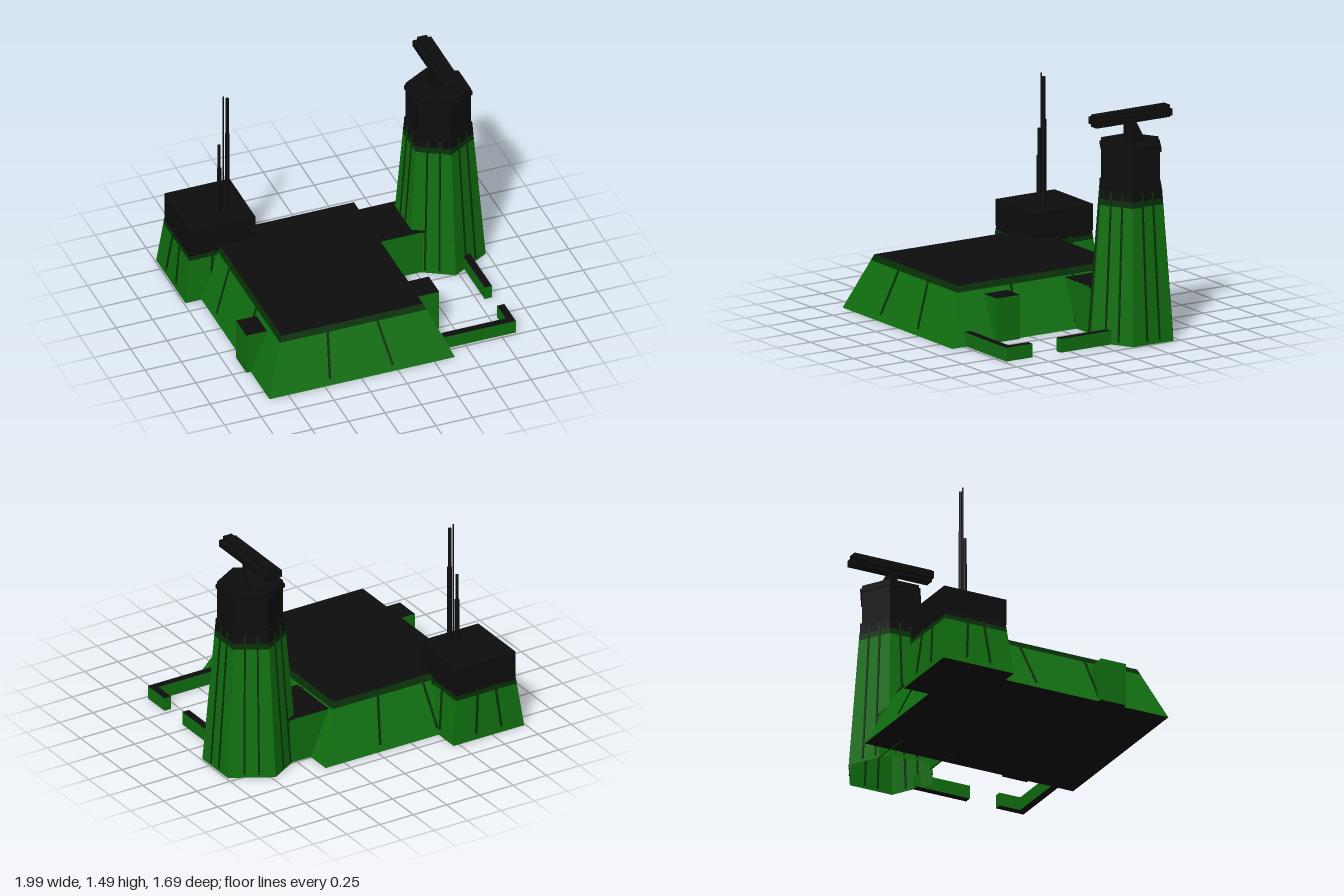
import * as THREE from 'three';

const green = new THREE.MeshStandardMaterial({ color: 0x107010, side: THREE.DoubleSide });
green.name = 'wall green';
const darkGreen = new THREE.MeshStandardMaterial({ color: 0x083008 });
darkGreen.name = 'dark green';
const black = new THREE.MeshStandardMaterial({ color: 0x0d0d0d });
black.name = 'black';

export function createModel() {
  const model = new THREE.Group();

  function add(name, geometry, material, parent = model) {
    const mesh = new THREE.Mesh(geometry, material);
    mesh.name = name;
    parent.add(mesh);
    return mesh;
  }

  // Box given by its limits; material order is +x, -x, +y, -y, +z, -z
  function box(name, [x0, x1], [y0, y1], [z0, z1], material, parent) {
    const g = new THREE.BoxGeometry(x1 - x0, y1 - y0, z1 - z0);
    g.translate((x0 + x1) / 2, (y0 + y1) / 2, (z0 + z1) / 2);
    return add(name, g, material, parent);
  }
  const blackEnds = (side) => [side, side, black, black, side, side];

  // Slice y0..y1 of a sloped block; rect(y) gives [x0, x1, z0, z1] at a height
  function slice(name, rect, y0, y1, material, parent) {
    const g = new THREE.BoxGeometry(1, 1, 1);
    const p = g.attributes.position;
    for (let i = 0; i < p.count; i++) {
      const y = p.getY(i) > 0 ? y1 : y0;
      const [a, b, c, d] = rect(y);
      p.setXYZ(i, p.getX(i) > 0 ? b : a, y, p.getZ(i) > 0 ? d : c);
    }
    g.computeVertexNormals();
    return add(name, g, material, parent);
  }
  const slope = (bottom, top, h) => (y) => bottom.map((v, i) => THREE.MathUtils.lerp(v, top[i], y / h));

  // Thin seam strip between two points
  function rib(a, b, width, parent) {
    const from = new THREE.Vector3(...a), to = new THREE.Vector3(...b);
    const mesh = add('seamRib', new THREE.BoxGeometry(width, from.distanceTo(to), width), darkGreen, parent);
    mesh.position.copy(from).add(to).multiplyScalar(0.5);
    mesh.quaternion.setFromUnitVectors(new THREE.Vector3(0, 1, 0), to.sub(from).normalize());
  }

  // Two seams on each sloped side; xs and zs hold [bottom, top] positions
  function sideRibs(rect, y0, y1, xs, zs, parent) {
    const lo = rect(y0), hi = rect(y1);
    for (const i of [0, 1]) for (const [b, t] of zs) rib([lo[i], y0, b], [hi[i], y1, t], 0.014, parent);
    for (const i of [2, 3]) for (const [b, t] of xs) rib([b, y0, lo[i]], [t, y1, hi[i]], 0.014, parent);
  }

  // Main building
  const main = new THREE.Group();
  main.name = 'mainBuilding';
  model.add(main);
  const mainRect = slope([-0.88, 0.39, -0.67, 0.84], [-0.74, 0.23, -0.51, 0.69], 0.36);
  slice('mainWalls', mainRect, 0, 0.32, blackEnds(green), main);
  slice('mainRoof', mainRect, 0.32, 0.36, blackEnds(darkGreen), main);
  sideRibs(mainRect, 0.04, 0.32, [[-0.46, -0.43], [-0.03, -0.09]], [[-0.11, -0.17], [0.34, 0.3]], main);

  // Side buttresses
  box('leftButtress', [0.26, 0.41], [0, 0.29], [0.335, 0.515], blackEnds(green));
  box('rightButtress', [-0.91, -0.77], [0, 0.29], [0.335, 0.515], blackEnds(green));

  // Corner block with aerials
  const corner = new THREE.Group();
  corner.name = 'cornerBlock';
  model.add(corner);
  const cornerRect = slope([-0.99, -0.46, -0.85, -0.34], [-0.945, -0.505, -0.815, -0.375], 0.36);
  slice('cornerWalls', cornerRect, 0, 0.3, blackEnds(green), corner);
  slice('cornerBand', cornerRect, 0.3, 0.33, darkGreen, corner);
  slice('cornerCollar', cornerRect, 0.33, 0.36, black, corner);
  sideRibs(cornerRect, 0.04, 0.34, [[-0.82, -0.79], [-0.63, -0.66]], [[-0.68, -0.65], [-0.51, -0.54]], corner);
  box('cornerCabin', [-0.945, -0.5], [0.355, 0.53], [-0.82, -0.37], black, corner);
  for (const [x, top, r] of [[-0.63, 1.1, 0.016], [-0.63, 1.38, 0.011], [-0.657, 1.4, 0.005],
    [-0.685, 0.85, 0.015], [-0.685, 1.03, 0.01]]) {
    const aerial = add('aerial', new THREE.CylinderGeometry(r, r, top - 0.53, 8), black, corner);
    aerial.position.set(x, (top + 0.53) / 2, -0.53);
  }

  // Covered link to the tower, open underneath
  box('linkRoof', [0.2, 0.57], [0.3, 0.31], [-0.49, -0.11], black);
  box('linkFrontWall', [0.24, 0.54], [0, 0.308], [-0.12, -0.109], green);
  box('linkBackWall', [0.24, 0.54], [0, 0.308], [-0.491, -0.48], green);

  // Hexagonal control tower
  const tower = new THREE.Group();
  tower.name = 'controlTower';
  tower.position.set(0.725, 0, -0.3);
  model.add(tower);
  const radius = (y) => 0.305 - 0.085 * y;
  function hex(name, y0, y1, r0, r1, material, open = false) {
    const g = new THREE.CylinderGeometry(r1, r0, y1 - y0, 6, 1, open).toNonIndexed();
    g.computeVertexNormals();
    g.translate(0, (y0 + y1) / 2, 0);
    add(name, g, material, tower);
  }
  hex('towerWalls', 0, 0.89, radius(0), radius(0.89), green, true);
  hex('towerBand', 0.89, 0.93, radius(0.89), radius(0.93), darkGreen);
  hex('towerCollar', 0.93, 0.99, radius(0.93), radius(0.99), black);
  hex('towerCabin', 0.99, 1.28, 0.21, 0.21, black);
  for (const y of [1.0, 1.245]) hex('cabinRing', y - 0.012, y + 0.012, 0.221, 0.221, black);

  // Two upright seams on each tower face
  for (let i = 0; i < 6; i++) {
    const face = new THREE.Group();
    face.name = 'towerFaceSeams';
    face.rotation.y = Math.PI / 6 + (i * Math.PI) / 3;
    tower.add(face);
    const a = Math.cos(Math.PI / 6);
    for (const s of [-1, 1]) rib([s * 0.047, 0.02, radius(0.02) * a], [s * 0.04, 0.98, radius(0.98) * a], 0.012, face);
  }

  // Radar on the tower roof
  const bracket = new THREE.Shape([[0.28, 1.27], [0.39, 1.27], [0.315, 1.41], [0.28, 1.41]]
    .map(([u, v]) => new THREE.Vector2(u, v)));
  const bracketGeo = new THREE.ExtrudeGeometry(bracket, { depth: 0.1, bevelEnabled: false });
  bracketGeo.rotateY(Math.PI / 2);
  bracketGeo.translate(0.67, 0, 0);
  add('radarBracket', bracketGeo, black);
  box('radarBarWide', [0.66, 0.785], [1.42, 1.465], [-0.58, -0.02], black);
  box('radarBarTall', [0.69, 0.755], [1.405, 1.485], [-0.58, -0.02], black);

  // Low yard walls
  box('yardWallFront', [0.36, 0.85], [0, 0.09], [0.68, 0.73], blackEnds(green));
  box('yardWallCorner', [0.8, 0.85], [0, 0.09], [0.53, 0.68], blackEnds(green));
  box('yardWallSide', [0.8, 0.85], [0, 0.09], [-0.07, 0.315], blackEnds(green));

  return model;
}
